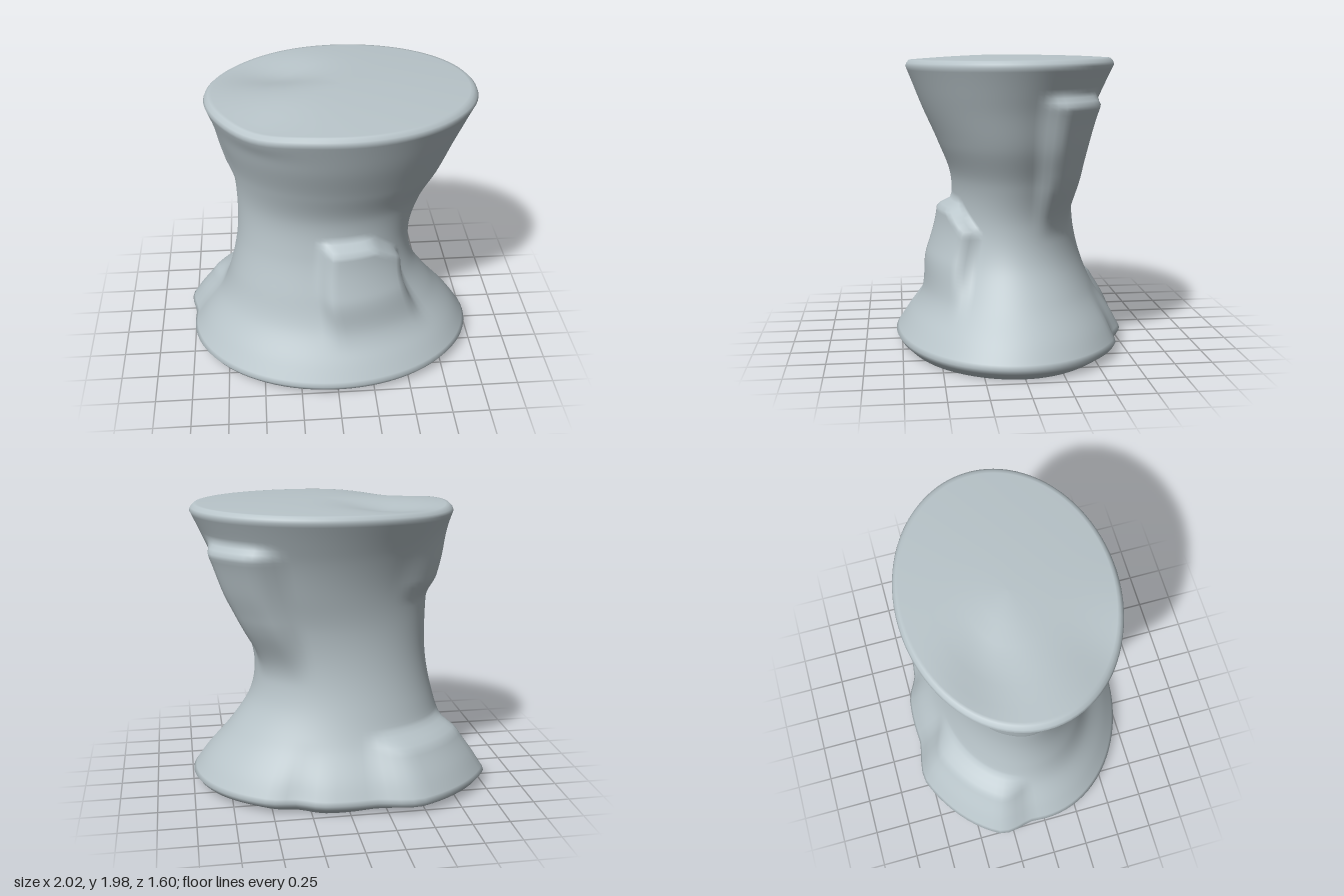
import * as THREE from 'three';

const SEG = 90;

// Waisted body: height, then extents at -x, +x, -z, +z
const ROWS = [
  [0.08, -1.0, 0.995, -0.775, 0.79],
  [0.2, -0.92, 0.91, -0.71, 0.71],
  [0.4, -0.78, 0.74, -0.58, 0.57],
  [0.63, -0.70, 0.59, -0.49, 0.48],
  [0.88, -0.65, 0.55, -0.44, 0.41],
  [1.15, -0.64, 0.62, -0.44, 0.40],
  [1.4, -0.66, 0.74, -0.49, 0.49],
  [1.65, -0.73, 0.835, -0.57, 0.6],
  [1.91, -0.82, 0.955, -0.69, 0.70],
];

// Lumps and one hollow: start and end angle (degrees, +x towards +z), edge softness,
// angle lost at the start edge near the top, height range, softness below and above, outward size
const LUMPS = [
  { a: [37, 95], soft: 8, chamfer: 24, y: [0.25, 1.01], low: 0.4, high: 0.06, size: 0.1 },
  { a: [-64, -12], soft: 15, chamfer: 0, y: [0.78, 1.76], low: 0.45, high: 0.1, size: 0.095 },
  { a: [188, 260], soft: 17, chamfer: 0, y: [-0.1, 0.48], low: 0.1, high: 0.11, size: 0.115 },
  { a: [165, 235], soft: 28, chamfer: 0, y: [1.3, 1.9], low: 0.16, high: 0.4, size: 0.05 },
  { a: [-78, -59], soft: 10, chamfer: 0, y: [-0.1, 0.45], low: 0.1, high: 0.4, size: -0.04 },
];

const step = THREE.MathUtils.smoothstep;

function lumpAt(deg, y) {
  let out = 0;
  for (const l of LUMPS) {
    const start = l.a[0] + l.chamfer * step(y, l.y[1] - 0.2, l.y[1]);
    const mid = (start + l.a[1]) / 2;
    const half = (l.a[1] - start) / 2;
    const off = Math.abs(((deg - mid + 540) % 360) - 180);
    const across = 1 - step(off, half - l.soft, half + 2);
    const up = step(y, l.y[0], l.y[0] + l.low) * (1 - step(y, l.y[1] - l.high, l.y[1]));
    out += l.size * across * up;
  }
  return out;
}

// Uneven heights of the top and underside
function topHeight(x, z) {
  const dent = Math.exp(-((x + 0.33) ** 2 / 0.08 + (z + 0.25) ** 2 / 0.04));
  const frontDip = Math.exp(-((x + 0.5) ** 2 / 0.08 + (z - 0.5) ** 2 / 0.06));
  return 1.978 - 0.04 * (x - 0.2) ** 2 - 0.06 * z * z - 0.008 * z - 0.05 * dent - 0.035 * frontDip;
}
const bottomHeight = (x, z) => 0.02 - 0.012 * x + 0.008 * Math.sin(5 * x + 3 * z);

function buildBody() {
  const extents = new THREE.CubicInterpolant(
    ROWS.map((r) => r[0]), ROWS.flatMap((r) => r.slice(1)), 4, new Float32Array(4));

  // Levels run from the underside centre, up the sides, to the top centre
  const levels = [];
  for (const s of [0, 0.3, 0.6, 0.85, 0.93]) levels.push({ y: 0.08, s, cap: 'bottom' });
  levels.push({ y: 0.08, s: 0.975, lift: 0.045 });
  for (let i = 0; i <= 70; i++) levels.push({ y: 0.08 + (1.83 * i) / 70, s: 1 });
  levels.push({ y: 1.91, s: 0.99, lift: 1.93 });
  for (const s of [0.965, 0.94, 0.85, 0.7, 0.55, 0.4, 0.25, 0.1, 0]) levels.push({ y: 1.91, s, cap: 'top' });

  const pos = [];
  const index = [];
  levels.forEach((lv, j) => {
    const [x0, x1, z0, z1] = extents.evaluate(lv.y);
    for (let i = 0; i < SEG; i++) {
      const a = (i / SEG) * Math.PI * 2;
      const c = Math.cos(a), s = Math.sin(a);
      const lump = lumpAt((i / SEG) * 360, lv.y);
      const x = (x0 + x1) / 2 + ((x1 - x0) / 2 + lump) * c * lv.s;
      const z = (z0 + z1) / 2 + ((z1 - z0) / 2 + lump) * s * lv.s;
      let y = lv.lift ?? lv.y;
      if (lv.cap === 'top') y = topHeight(x, z);
      else if (lv.cap === 'bottom') y = bottomHeight(x, z);
      else if (y > 1.7) y += (topHeight(x, z) - 1.95) * step(y, 1.7, 1.91);
      pos.push(x, Math.max(0, y), z);
      if (j < levels.length - 1) {
        const p = j * SEG + i, q = j * SEG + ((i + 1) % SEG);
        index.push(p, p + SEG, q + SEG, p, q + SEG, q);
      }
    }
  });

  const geo = new THREE.BufferGeometry();
  geo.setAttribute('position', new THREE.Float32BufferAttribute(pos, 3));
  geo.setIndex(index);
  geo.computeVertexNormals();
  return geo;
}

export function createModel() {
  const stone = new THREE.MeshStandardMaterial({ color: 0xb8c4c9 });
  stone.name = 'grey stone';
  const group = new THREE.Group();
  group.name = 'rockPillar';
  const body = new THREE.Mesh(buildBody(), stone);
  body.name = 'rockBody';
  group.add(body);
  return group;
}
